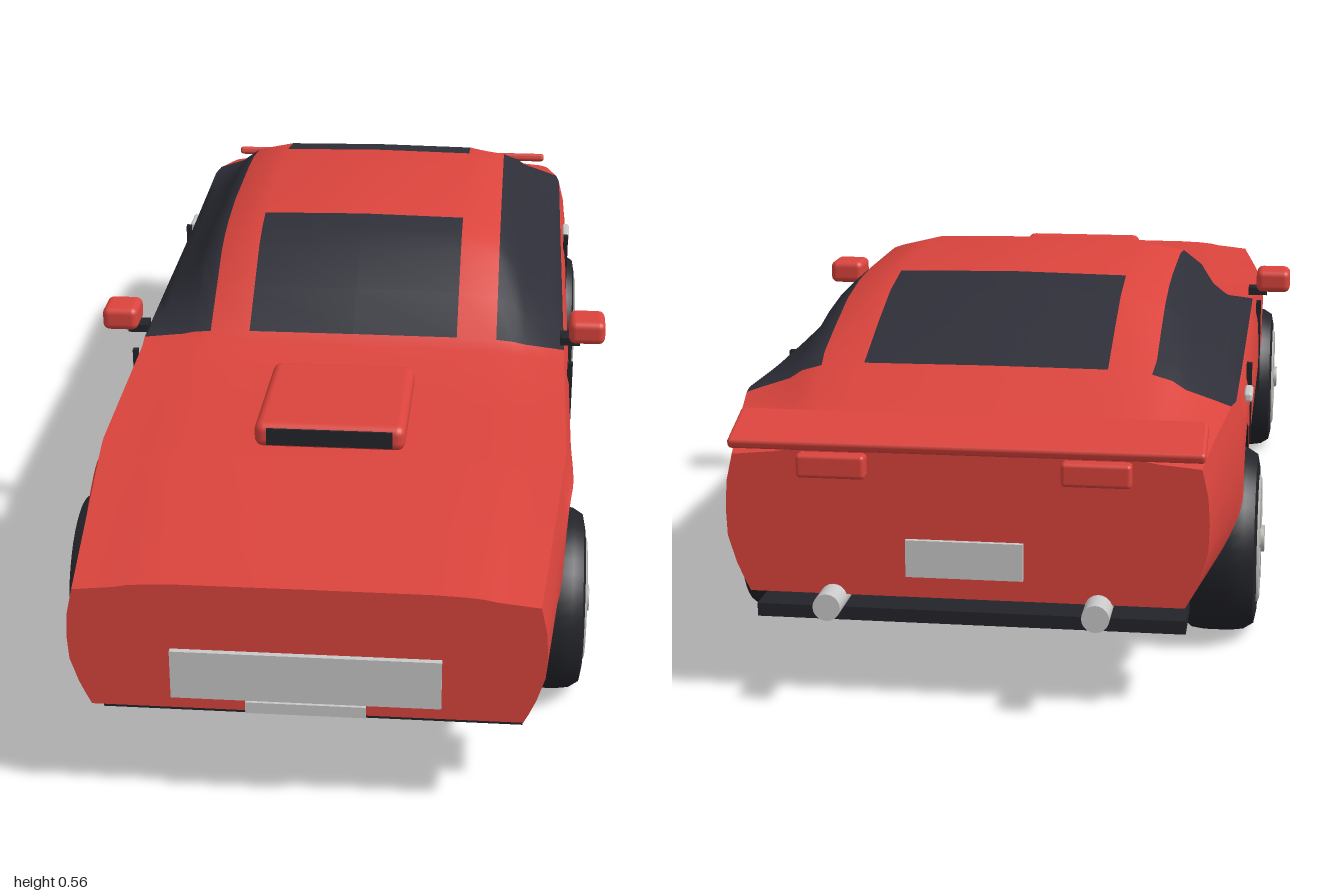
import * as THREE from 'three';
import { toCreasedNormals } from 'three/addons/utils/BufferGeometryUtils.js';
import { RoundedBoxGeometry } from 'three/addons/geometries/RoundedBoxGeometry.js';

const paint = (name, color) => Object.assign(new THREE.MeshStandardMaterial({ color }), { name });

// Piecewise linear lookup in [z, value] pairs
function lookup(keys, z) {
  if (z <= keys[0][0]) return keys[0][1];
  for (let i = 1; i < keys.length; i++) {
    const [z0, v0] = keys[i - 1], [z1, v1] = keys[i];
    if (z <= z1) return v0 + (v1 - v0) * (z - z0) / (z1 - z0);
  }
  return keys[keys.length - 1][1];
}

const TOP = [[-0.955, 0.383], [-0.877, 0.412], [-0.757, 0.465], [-0.65, 0.507], [-0.556, 0.54], [-0.466, 0.557],
  [-0.38, 0.563], [-0.18, 0.564], [-0.09, 0.554], [-0.04, 0.543], [0.005, 0.526], [0.085, 0.473], [0.165, 0.418],
  [0.19, 0.403], [0.6, 0.394], [0.985, 0.375]];
const BELT = [[-0.955, 0.37], [-0.877, 0.392], [-0.757, 0.413], [-0.4, 0.403], [0.165, 0.4], [0.19, 0.393],
  [0.6, 0.383], [0.985, 0.36]];
const WIDTH = [[-0.955, 0.9], [-0.72, 1], [0.55, 1], [0.985, 0.895]];
const BASE = [[-0.955, 0.165], [-0.75, 0.148], [-0.56, 0.15], [-0.45, 0.165], [0.5, 0.165], [0.59, 0.15],
  [0.765, 0.145], [0.985, 0.168]];
const WHEEL_Z = [0.59, -0.56], ARCH_Y = 0.155, ARCH_R = 0.177;

// Underside height, rising over the wheel arches
function bottom(z) {
  let y = lookup(BASE, z);
  for (const c of WHEEL_Z) {
    const d = ARCH_R ** 2 - (z - c) ** 2;
    if (d > 0) y = Math.max(y, ARCH_Y + Math.sqrt(d));
  }
  return y;
}
const sideX = (y) => 0.388 - 0.04 * Math.pow(Math.max(0, (0.26 - y) / 0.1), 1.5);

// Half cross-section from roof centre, round the side, to underside centre
function section(z) {
  const t = lookup(TOP, z), b = lookup(BELT, z), w = lookup(WIDTH, z), low = bottom(z), h = t - b;
  const pts = [[0, t], [0.185, t - 0.02 * h]];
  for (const [x, f] of [[0.255, 0.87], [0.286, 0.7], [0.306, 0.45], [0.35, 0.17], [0.375, 0]]) pts.push([x * w, b + f * h]);
  const y0 = b - 0.04;
  pts.push([0.385 * w, y0]);
  for (const f of [0.25, 0.5, 0.75, 0.9, 1]) {
    const y = y0 + (low - y0) * f;
    pts.push([sideX(y) * w, y]);
  }
  pts.push([0, low]);
  return pts;
}

// Body shell: lofted sections with the windows and underside as material groups
function bodyGeometry() {
  const zs = TOP.map((k) => k[0]);
  for (const c of WHEEL_Z) {
    for (let i = 0; i <= 24; i++) zs.push(c - ARCH_R * 1.0001 * Math.cos(Math.PI * i / 24));
  }
  zs.sort((a, b) => a - b);
  const pos = [], sets = [[], [], []];
  const n = section(0).length - 1, ring = 2 * n;
  for (const z of zs) {
    const s = section(z);
    for (let k = 0; k < ring; k++) {
      const p = s[k <= n ? k : ring - k];
      pos.push(k <= n ? p[0] : -p[0], p[1], z);
    }
  }
  for (let j = 0; j < zs.length - 1; j++) {
    const m = (zs[j] + zs[j + 1]) / 2;
    for (let k = 0; k < ring; k++) {
      const i = k < n ? k : ring - 1 - k, k1 = (k + 1) % ring;
      const screen = i === 0 && ((m > -0.09 && m < 0.165) || (m > -0.757 && m < -0.466));
      const sideGlass = i >= 2 && i <= 5 && m > -0.757 && m < 0.165;
      const a = j * ring + k, b = j * ring + k1, c = b + ring, d = a + ring;
      sets[i === n - 1 ? 2 : screen || sideGlass ? 1 : 0].push(a, d, c, a, c, b);
    }
  }
  // Nose and tail caps
  for (const [j, front] of [[0, false], [zs.length - 1, true]]) {
    const centre = pos.length / 3;
    pos.push(0, 0.27, zs[j]);
    for (let k = 0; k < ring; k++) {
      const a = j * ring + k, b = j * ring + (k + 1) % ring;
      sets[0].push(centre, front ? b : a, front ? a : b);
    }
  }
  const geo = new THREE.BufferGeometry();
  geo.setAttribute('position', new THREE.Float32BufferAttribute(pos, 3));
  geo.setIndex(sets.flat());
  let start = 0;
  sets.forEach((s, i) => { geo.addGroup(start, s.length, i); start += s.length; });
  return toCreasedNormals(geo, 0.65);
}

export function createModel() {
  const red = paint('bodyRed', 0xdb443d);
  const glass = paint('darkGlass', 0x2e2f38);
  const black = paint('blackTrim', 0x23242a);
  const silver = paint('silver', 0xc9c9c9);
  const alloy = paint('alloy', 0xb4b4b0);

  const car = new THREE.Group();
  car.name = 'sportsCar';
  const add = (name, geo, mat, x = 0, y = 0, z = 0, parent = car) => {
    const mesh = new THREE.Mesh(geo, mat);
    mesh.name = name;
    mesh.position.set(x, y, z);
    parent.add(mesh);
    return mesh;
  };
  const box = (w, h, d) => new THREE.BoxGeometry(w, h, d);
  const soft = (w, h, d, r) => new RoundedBoxGeometry(w, h, d, 3, r);

  add('body', bodyGeometry(), [red, glass, black]);
  add('sill', box(0.72, 0.036, 0.79), black, 0, 0.148, 0.015);
  add('frontSplitter', box(0.632, 0.013, 0.09), black, 0, 0.12, 0.865);
  add('rearDiffuser', box(0.632, 0.02, 0.1), black, 0, 0.124, -0.873);

  // Hood scoop with a dark mouth
  const scoop = new THREE.Group();
  scoop.name = 'hoodScoop';
  scoop.position.set(0, 0.422, 0.47);
  scoop.rotation.x = -0.05;
  car.add(scoop);
  add('scoopShell', soft(0.24, 0.042, 0.28, 0.015), red, 0, 0, 0, scoop);
  add('scoopMouth', box(0.2, 0.027, 0.006), black, 0, 0, 0.139, scoop);

  // Nose and tail details
  add('frontGrille', box(0.394, 0.078, 0.009), silver, 0, 0.229, 0.989);
  add('frontPlate', box(0.176, 0.018, 0.009), silver, 0, 0.178, 0.989);
  add('rearPlate', box(0.17, 0.055, 0.009), silver, 0, 0.225, -0.958);
  const spoiler = add('rearSpoiler', soft(0.685, 0.016, 0.09, 0.006), red, 0, 0.4, -0.92);
  spoiler.rotation.x = -0.33;

  // Parts repeated on both sides
  const pipe = new THREE.CylinderGeometry(0.02, 0.02, 0.09, 20).rotateX(Math.PI / 2);
  for (const s of [1, -1]) {
    add('mirror', soft(0.063, 0.042, 0.07, 0.012), red, s * 0.414, 0.441, 0.155);
    add('mirrorFoot', box(0.035, 0.014, 0.035), black, s * 0.385, 0.419, 0.155);
    add('frontDoorGap', box(0.009, 0.18, 0.012), black, s * 0.386, 0.3, 0.197);
    add('rearDoorGap', box(0.009, 0.135, 0.012), black, s * 0.386, 0.335, -0.41);
    add('doorHandle', soft(0.014, 0.016, 0.06, 0.005), silver, s * 0.388, 0.374, -0.51);
    add('tailLight', soft(0.1, 0.035, 0.025, 0.006), red, s * 0.19, 0.36, -0.962);
    add('exhaustPipe', pipe, silver, s * 0.193, 0.16, -0.957);
  }

  // Wheels: rounded tyre, rim rings, hub and five spokes, outer face toward +x
  const profile = [[0, -0.058], [0.11, -0.06], [0.133, -0.055], [0.145, -0.04], [0.148, -0.02], [0.148, 0.02],
    [0.145, 0.042], [0.135, 0.058], [0.115, 0.062], [0.104, 0.06], [0.1, 0.05], [0, 0.05]];
  const tyre = toCreasedNormals(new THREE.LatheGeometry(profile.map((p) => new THREE.Vector2(...p)), 40), 0.7)
    .rotateZ(-Math.PI / 2);
  const outerRing = new THREE.TorusGeometry(0.095, 0.008, 8, 40).rotateY(Math.PI / 2);
  const innerRing = new THREE.TorusGeometry(0.05, 0.006, 8, 30).rotateY(Math.PI / 2);
  const hub = new THREE.CylinderGeometry(0.021, 0.024, 0.024, 20).rotateZ(-Math.PI / 2);
  const spoke = box(0.014, 0.08, 0.02).translate(0, 0.055, 0);
  for (const z of WHEEL_Z) {
    for (const s of [1, -1]) {
      const wheel = new THREE.Group();
      wheel.name = (z > 0 ? 'front' : 'rear') + (s > 0 ? 'Left' : 'Right') + 'Wheel';
      wheel.position.set(s * 0.348, 0.148, z);
      if (s < 0) wheel.rotation.y = Math.PI;
      add('tyre', tyre, black, 0, 0, 0, wheel);
      add('rimRing', outerRing, alloy, 0.058, 0, 0, wheel);
      add('innerRing', innerRing, alloy, 0.058, 0, 0, wheel);
      add('hub', hub, alloy, 0.06, 0, 0, wheel);
      for (let i = 0; i < 5; i++) add('spoke', spoke, alloy, 0.059, 0, 0, wheel).rotation.x = i * Math.PI * 0.4;
      car.add(wheel);
    }
  }
  return car;
}
